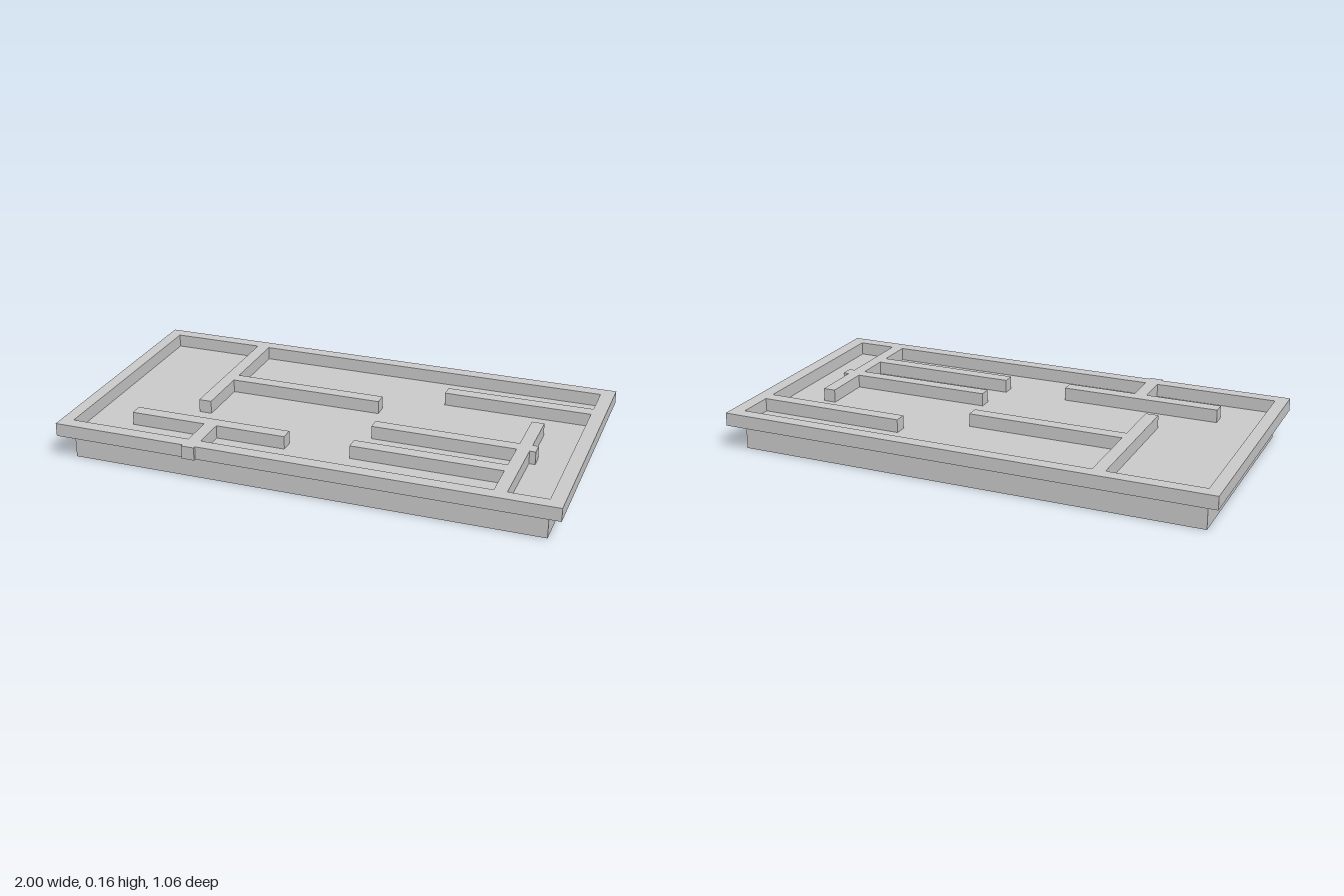
import * as THREE from 'three';

const FLOOR = 0.106, TOP = 0.159;
const material = new THREE.MeshStandardMaterial({ color: 0xcccccc, flatShading: true });

// Box given by its extents in x, y and z
function block(name, x0, x1, y0, y1, z0, z1) {
  const mesh = new THREE.Mesh(new THREE.BoxGeometry(x1 - x0, y1 - y0, z1 - z0), material);
  mesh.position.set((x0 + x1) / 2, (y0 + y1) / 2, (z0 + z1) / 2);
  mesh.name = name;
  return mesh;
}

// Rectangle outline; the shape's y becomes -z once laid flat
function rectangle(Type, x0, x1, z0, z1) {
  const path = new Type();
  path.moveTo(x0, -z1).lineTo(x1, -z1).lineTo(x1, -z0).lineTo(x0, -z0).closePath();
  return path;
}

export function createModel() {
  const model = new THREE.Group();
  model.name = 'mazeTray';

  // Solid base slab, its top is the floor of the tray
  model.add(block('base', -0.95, 0.945, 0, FLOOR, -0.479, 0.467));

  // Outer wall overhanging the base
  const outline = rectangle(THREE.Shape, -1, 1, -0.531, 0.52);
  outline.holes.push(rectangle(THREE.Path, -0.95, 0.945, -0.479, 0.467));
  const rimGeometry = new THREE.ExtrudeGeometry(outline, { depth: TOP - FLOOR, bevelEnabled: false });
  rimGeometry.rotateX(-Math.PI / 2);
  const rim = new THREE.Mesh(rimGeometry, material);
  rim.name = 'outerWall';
  rim.position.y = FLOOR;
  model.add(rim);

  // Inner walls: name, x range, z range
  const walls = [
    ['backLongWall', -0.57, -0.518, -0.479, 0.125],
    ['backBranchWall', -0.518, 0.117, -0.156, -0.103],
    ['leftSideWall', 0.346, 0.945, -0.328, -0.276],
    ['frontLongWall', 0.741, 0.791, -0.13, 0.467],
    ['crossingWallInner', 0.165, 0.741, 0.073, 0.124],
    ['crossingWallStub', 0.791, 0.815, 0.073, 0.124],
    ['frontBranchWall', 0.142, 0.741, 0.261, 0.313],
    ['teeBar', -0.766, -0.119, 0.272, 0.325],
    ['teeStem', -0.455, -0.403, 0.325, 0.467],
    ['teeStemOutside', -0.455, -0.403, 0.52, 0.531],
  ];
  for (const [name, x0, x1, z0, z1] of walls) {
    model.add(block(name, x0, x1, FLOOR, TOP, z0, z1));
  }
  return model;
}
